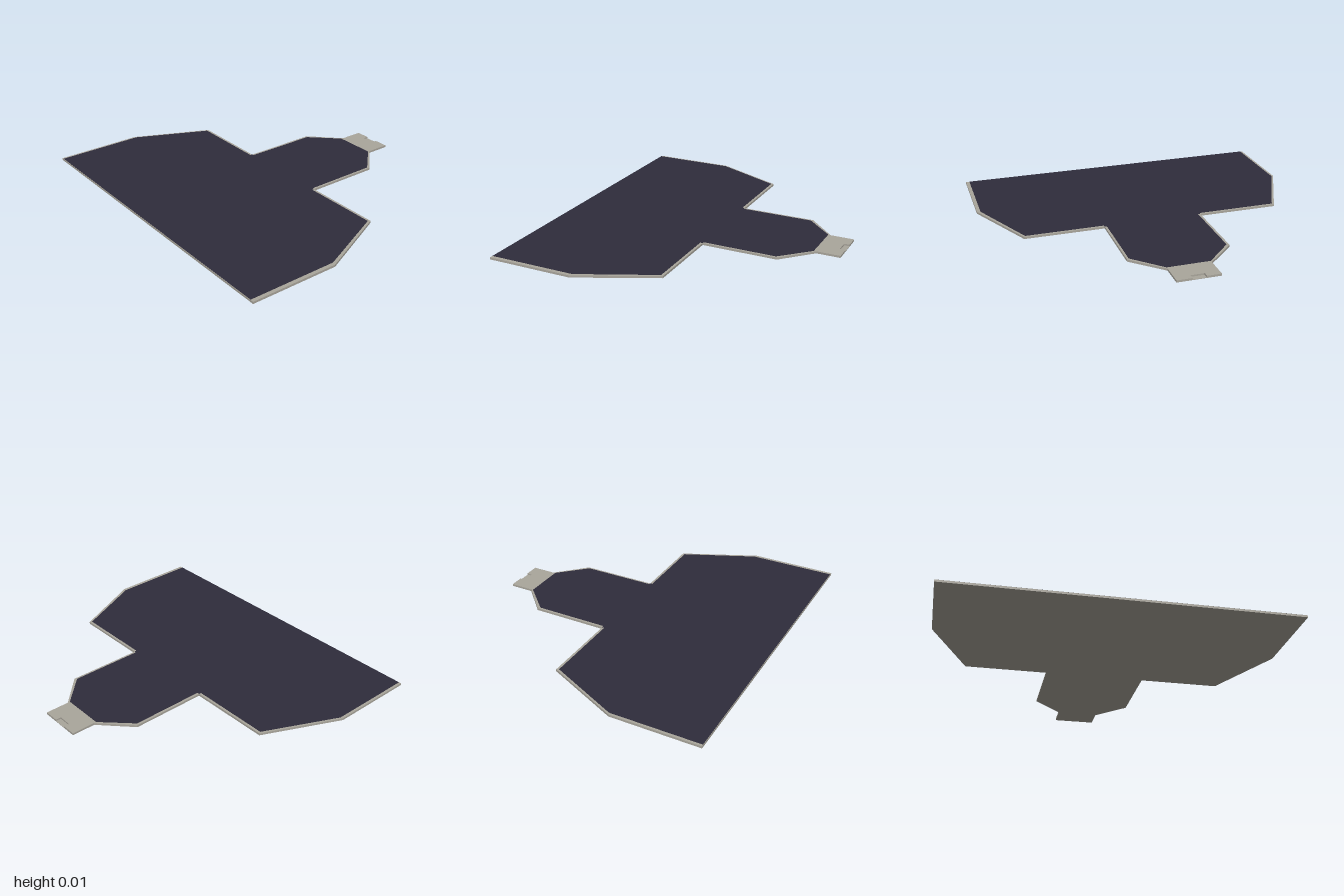
import * as THREE from 'three';

const BASE_TOP = 0.0125;

// Flat plate from an [x, z] outline, standing between heights y0 and y1
function plate(name, outline, y0, y1, material) {
  const shape = new THREE.Shape(outline.map(([x, z]) => new THREE.Vector2(x, -z)));
  const geometry = new THREE.ExtrudeGeometry(shape, { depth: y1 - y0, bevelEnabled: false });
  geometry.rotateX(-Math.PI / 2);
  geometry.translate(0, y0, 0);
  const mesh = new THREE.Mesh(geometry, material);
  mesh.name = name;
  return mesh;
}

export function createModel() {
  const board = new THREE.MeshStandardMaterial({ color: 0xaaa69c });
  board.name = 'warm grey board';
  const dark = new THREE.MeshStandardMaterial({ color: 0x2e2c3b });
  dark.name = 'dark indigo';

  const group = new THREE.Group();
  group.name = 'silhouetteBoard';

  // Board: wide body, narrow neck and a tab with a small notch at the back
  group.add(plate('backingBoard', [
    [-1, 0.876], [1, 0.876], [1, 0.35], [0.79, -0.105],
    [0.31, -0.105], [0.31, -0.565], [0.135, -0.735], [0.135, -0.878],
    [0.045, -0.878], [0.045, -0.845], [-0.035, -0.845], [-0.035, -0.878],
    [-0.12, -0.878], [-0.12, -0.735], [-0.295, -0.565], [-0.295, -0.105],
    [-0.79, -0.105], [-1, 0.35],
  ], 0, BASE_TOP, board));

  // Thin floor inside the tab notch
  group.add(plate('notchFloor', [
    [-0.035, -0.845], [0.045, -0.845], [0.045, -0.878], [-0.035, -0.878],
  ], 0, 0.003, board));

  // Dark facing, inset from the rim and reaching the inner corners
  group.add(plate('darkFacing', [
    [-0.985, 0.874], [0.978, 0.874], [0.978, 0.345], [0.782, -0.09],
    [0.31, -0.09], [0.31, -0.105], [0.297, -0.105], [0.297, -0.555],
    [0.135, -0.72], [-0.12, -0.72], [-0.28, -0.555], [-0.28, -0.105],
    [-0.295, -0.105], [-0.295, -0.09], [-0.782, -0.09], [-0.985, 0.345],
  ], BASE_TOP, BASE_TOP + 0.0015, dark));

  return group;
}
